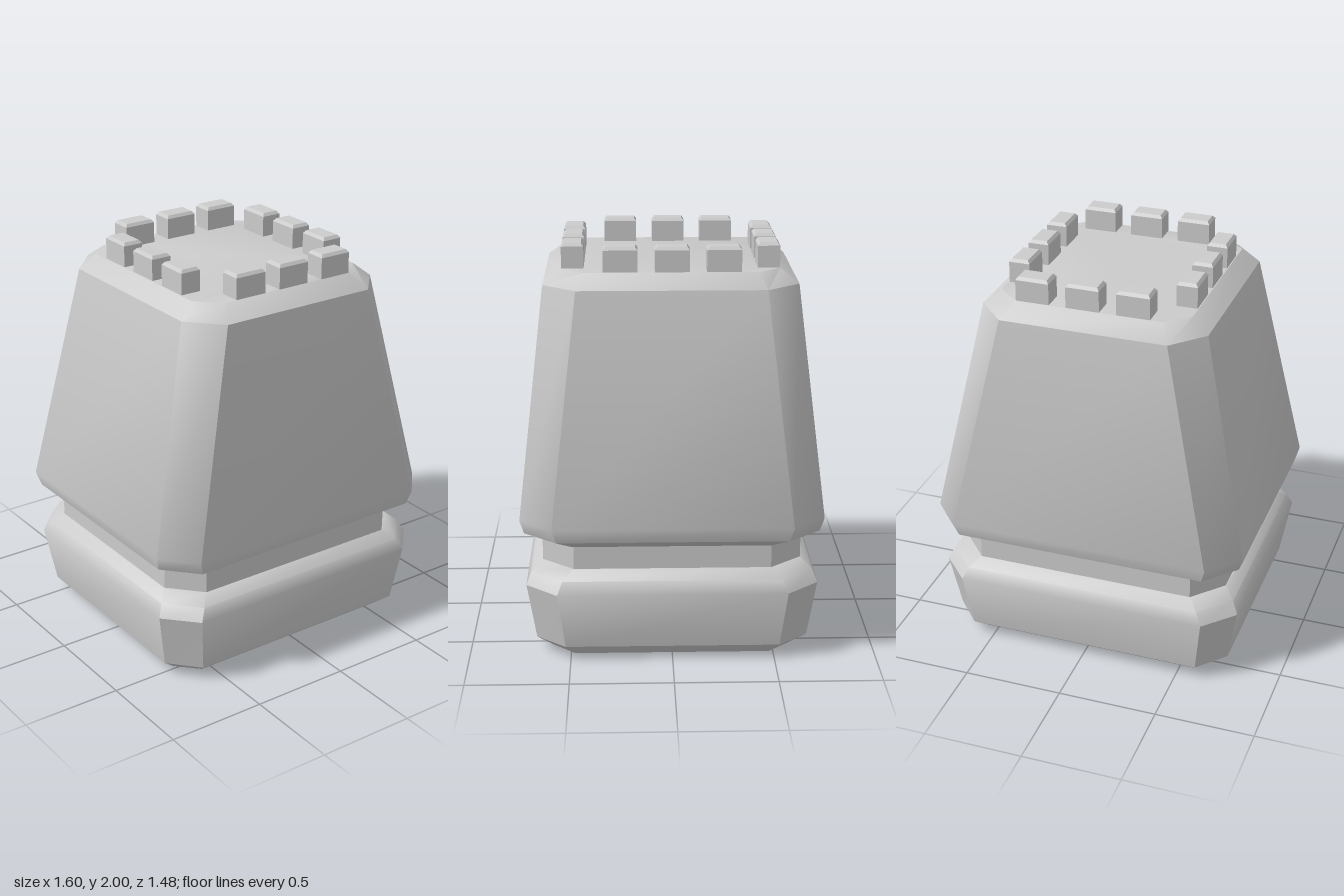
import * as THREE from 'three';
import { toCreasedNormals } from 'three/addons/utils/BufferGeometryUtils.js';

const material = new THREE.MeshStandardMaterial({ color: 0xcccccc });
const CREASE = THREE.MathUtils.degToRad(37.5);

// Corners of a rectangle with cut corners, counter-clockwise from above.
// hx, hz: half sizes; fx, fz: half lengths of the straight sides.
function ring([y, hx, hz, fx = hx, fz = hz]) {
  const corners = [
    [hx, fz], [hx, -fz], [fx, -hz], [-fx, -hz],
    [-hx, -fz], [-hx, fz], [-fx, hz], [fx, hz],
  ];
  // Square corners need only one point each
  const used = fx === hx && fz === hz ? corners.filter((_, i) => i % 2 === 0) : corners;
  return used.map(([x, z]) => new THREE.Vector3(x, y, z));
}

// Closed solid through a stack of sections, bottom to top
function loft(name, sections) {
  const rings = sections.map(ring);
  const n = rings[0].length;
  const points = [];
  for (let k = 0; k < rings.length - 1; k++) {
    const a = rings[k], b = rings[k + 1];
    for (let i = 0; i < n; i++) {
      const j = (i + 1) % n;
      points.push(a[i], a[j], b[j], a[i], b[j], b[i]);
    }
  }
  const bottom = rings[0], top = rings[rings.length - 1];
  for (let i = 1; i < n - 1; i++) {
    points.push(bottom[0], bottom[i + 1], bottom[i], top[0], top[i], top[i + 1]);
  }
  const geometry = new THREE.BufferGeometry().setFromPoints(points);
  const mesh = new THREE.Mesh(toCreasedNormals(geometry, CREASE), material);
  mesh.name = name;
  return mesh;
}

export function createModel() {
  const model = new THREE.Group();
  model.name = 'tower';

  // Plinth with a rounded shoulder
  model.add(loft('base', [
    [0, 0.65, 0.585, 0.55, 0.48],
    [0.07, 0.73, 0.67, 0.60, 0.525],
    [0.36, 0.78, 0.715, 0.635, 0.56],
    [0.42, 0.75, 0.69, 0.605, 0.535],
    [0.465, 0.70, 0.635, 0.56, 0.485],
  ]));

  // Recessed band between plinth and body
  model.add(loft('neck', [
    [0.44, 0.695, 0.635, 0.555, 0.48],
    [0.60, 0.695, 0.635, 0.555, 0.48],
  ]));

  // Tapering body with a flared rim and sloped top edge
  model.add(loft('body', [
    [0.58, 0.70, 0.64, 0.56, 0.485],
    [0.63, 0.78, 0.72, 0.635, 0.56],
    [0.70, 0.80, 0.74, 0.655, 0.58],
    [1.81, 0.563, 0.617, 0.415, 0.455],
    [1.88, 0.478, 0.527, 0.37, 0.42],
  ]));

  // Battlements: three blocks along each side
  const battlements = new THREE.Group();
  battlements.name = 'battlements';
  const addBlock = (x, z, hx, hz) => {
    const bevel = 0.012;
    const block = loft('battlement', [
      [1.87, hx, hz],
      [1.985, hx, hz],
      [2, hx - bevel, hz - bevel],
    ]);
    block.position.set(x, 0, z);
    battlements.add(block);
  };
  for (const side of [-1, 1]) {
    for (const step of [-1, 0, 1]) {
      addBlock(0.03 + step * 0.25, side * 0.473, 0.083, 0.054);
      addBlock(side * 0.421, -0.005 + step * 0.248, 0.052, 0.083);
    }
  }
  model.add(battlements);

  return model;
}
